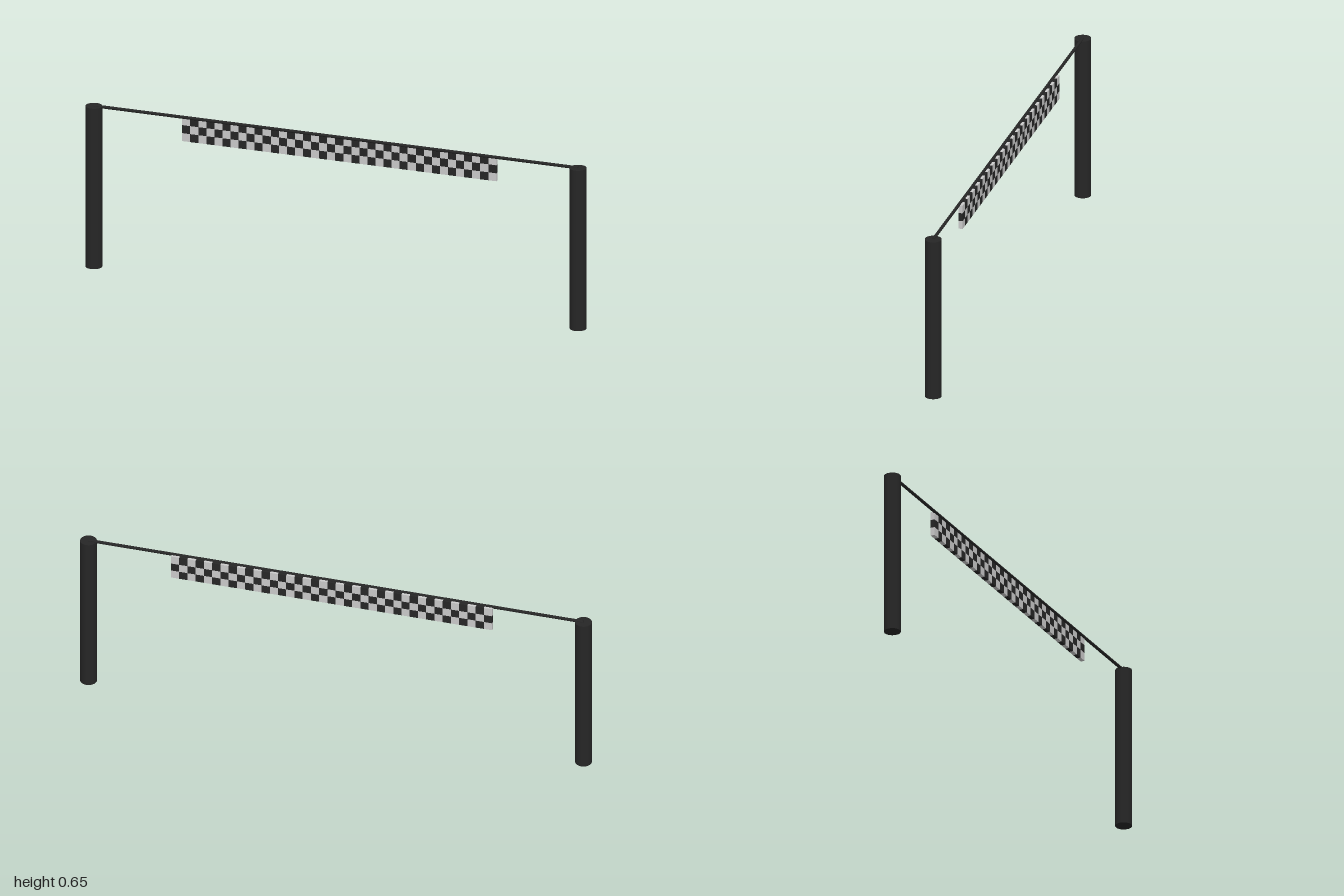
import * as THREE from 'three';
import { mergeGeometries } from 'three/addons/utils/BufferGeometryUtils.js';

const HEIGHT = 0.646, POST_R = 0.032, POST_X = 1 - POST_R;
const COLS = 39, ROWS = 3, CELL = 0.0322, DEPTH = 0.016;
const BANNER_X = 0.013;

export function createModel() {
  const group = new THREE.Group();
  const dark = new THREE.MeshStandardMaterial({ color: 0x262626 });
  const grey = new THREE.MeshStandardMaterial({ color: 0xcccccc });

  const add = (name, geometry, material) => {
    const mesh = new THREE.Mesh(geometry, material);
    mesh.name = name;
    group.add(mesh);
    return mesh;
  };

  // Two round posts
  for (const [name, side] of [['leftPost', 1], ['rightPost', -1]]) {
    const post = add(name, new THREE.CylinderGeometry(POST_R, POST_R, HEIGHT, 32), dark);
    post.position.set(side * POST_X, HEIGHT / 2, 0);
  }

  // Thin line stretched between the post tops
  const line = add('line', new THREE.CylinderGeometry(0.006, 0.006, 2 * POST_X, 16), dark);
  line.rotation.z = Math.PI / 2;
  line.position.y = HEIGHT;

  // Chequered banner of alternating tiles, hung just behind the line
  const tiles = [[], []];
  for (let row = 0; row < ROWS; row++) {
    for (let col = 0; col < COLS; col++) {
      const tile = new THREE.BoxGeometry(CELL, CELL, DEPTH);
      tile.translate(
        BANNER_X + (col - (COLS - 1) / 2) * CELL,
        HEIGHT - (row + 0.5) * CELL,
        -DEPTH / 2
      );
      tiles[(row + col) % 2].push(tile);
    }
  }
  add('bannerLightTiles', mergeGeometries(tiles[0]), grey);
  add('bannerDarkTiles', mergeGeometries(tiles[1]), dark);

  return group;
}
